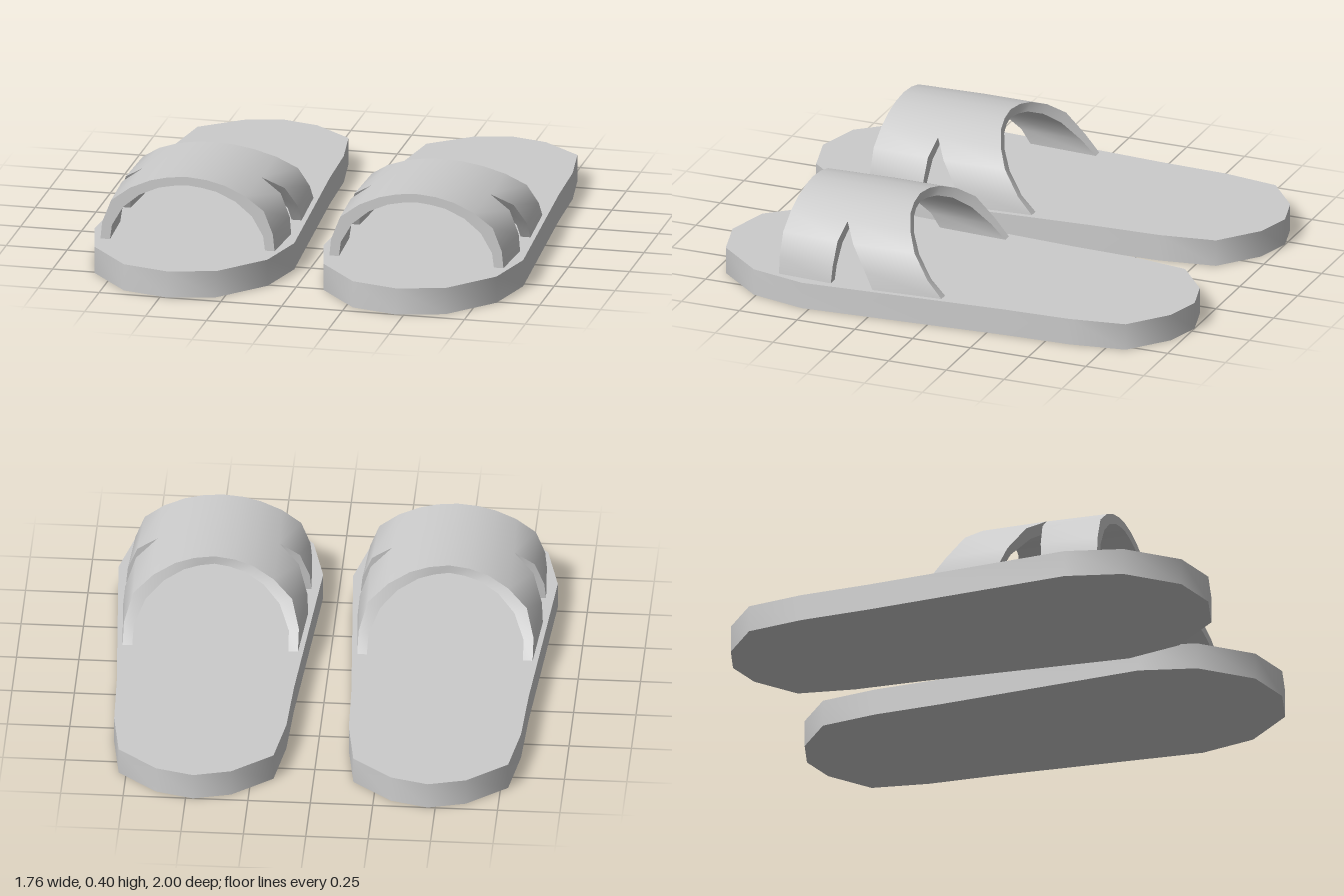
import * as THREE from 'three';
import { toCreasedNormals } from 'three/addons/utils/BufferGeometryUtils.js';

const SOLE_H = 0.11;
const CREASE = 0.9;

// Half outline of the sole from heel to toe: [half width, z]
const SOLE = [[0, -1], [0.15, -0.96], [0.31, -0.83], [0.345, -0.6], [0.355, -0.32],
  [0.41, 0.53], [0.355, 0.76], [0.19, 0.95], [0, 1]];

// Strap stations from the foot of the arch to its crown:
// outer half width, outer y, inner half width, inner y, front of slit z, back of slit z, rear edge z
const ARCH = [
  [0.365, 0.11, 0.325, 0.11, 0.42, 0.24, -0.05],
  [0.358, 0.18, 0.317, 0.17, 0.415, 0.275, 0.01],
  [0.32, 0.275, 0.27, 0.25, 0.41, 0.342, 0.08],
  [0.24, 0.333, 0.2, 0.307, 0.4, 0.4, 0.13],
  [0.155, 0.37, 0.12, 0.342, 0.4, 0.4, 0.165],
  [0.08, 0.388, 0.06, 0.354, 0.4, 0.4, 0.18],
  [0, 0.395, 0, 0.36, 0.4, 0.4, 0.187],
];
const STRAP_FRONT = 0.65;

function soleGeometry() {
  const right = SOLE.map(([x, z]) => new THREE.Vector2(x, -z));
  const left = SOLE.slice(1, -1).reverse().map(([x, z]) => new THREE.Vector2(-x, -z));
  const geo = new THREE.ExtrudeGeometry(new THREE.Shape([...right, ...left]),
    { depth: SOLE_H, bevelEnabled: false });
  geo.rotateX(-Math.PI / 2);
  return toCreasedNormals(geo, CREASE);
}

// Arched shell split at each side by a tapering slit
function strapGeometry() {
  const bulge = z => 1.02 - 0.4 * (z - 0.33) ** 2;
  const stations = [
    ...ARCH.map(a => ({ a, side: -1 })),
    ...ARCH.slice(0, -1).reverse().map(a => ({ a, side: 1 })),
  ];
  // Four corners of a band's cross-section: outer front, outer back, inner back, inner front
  const section = ({ a, side }, band) => {
    const [zf, zb] = band === 0 ? [STRAP_FRONT, a[4]] : [a[5], a[6]];
    const outer = z => [side * a[0] * bulge(z), a[1], z];
    const inner = z => [side * a[2] * bulge(z), a[3], z];
    return [outer(zf), outer(zb), inner(zb), inner(zf)];
  };
  const open = s => s.a[4] > s.a[5];
  const pos = [];
  for (let i = 0; i < stations.length - 1; i++) {
    const slit = open(stations[i]) || open(stations[i + 1]);
    for (const band of [0, 1]) {
      const p = section(stations[i], band);
      const q = section(stations[i + 1], band);
      for (let k = 0; k < 4; k++) {
        // No wall where the two bands are joined
        if (!slit && k === (band === 0 ? 1 : 3)) continue;
        const n = (k + 1) % 4;
        pos.push(...p[k], ...q[k], ...q[n], ...p[k], ...q[n], ...p[n]);
      }
    }
  }
  const geo = new THREE.BufferGeometry();
  geo.setAttribute('position', new THREE.Float32BufferAttribute(pos, 3));
  return toCreasedNormals(geo, CREASE);
}

export function createModel() {
  const model = new THREE.Group();
  model.name = 'sandals';
  const material = new THREE.MeshStandardMaterial({ color: 0xcccccc });
  const soleGeo = soleGeometry();
  const strapGeo = strapGeometry();

  for (const side of [1, -1]) {
    const sandal = new THREE.Group();
    sandal.name = side > 0 ? 'leftSandal' : 'rightSandal';
    const sole = new THREE.Mesh(soleGeo, material);
    sole.name = 'sole';
    const strap = new THREE.Mesh(strapGeo, material);
    strap.name = 'strap';
    sandal.add(sole, strap);
    sandal.position.x = side * 0.47;
    model.add(sandal);
  }
  return model;
}
